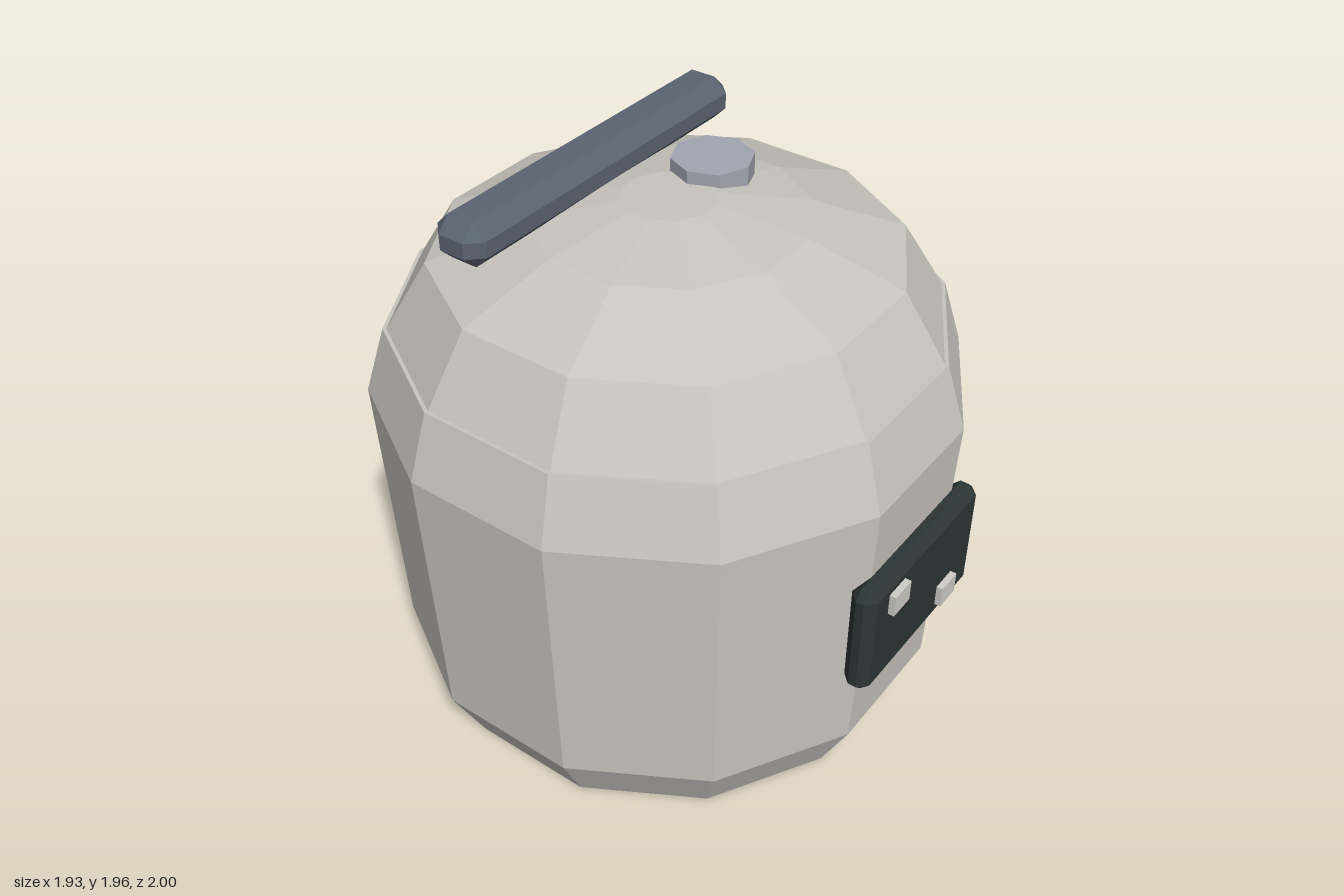
import * as THREE from 'three';
import { ConvexGeometry } from 'three/addons/geometries/ConvexGeometry.js';

const CENTRE_Z = -0.037;

function makeMaterial(name, color) {
  const m = new THREE.MeshStandardMaterial({ color, flatShading: true });
  m.name = name;
  return m;
}

// Twelve-sided solid of revolution with flats facing front and back;
// profile entries are [distance from axis to flat, y]
function facetedLathe(profile) {
  const k = 1 / Math.cos(Math.PI / 12);
  const points = profile.map(([r, y]) => new THREE.Vector2(r * k, y));
  return new THREE.LatheGeometry(points, 12).rotateY(Math.PI / 12).translate(0, 0, CENTRE_Z);
}

// Box with every edge cut at 45 degrees and triangular corners
function chamferedBox(w, h, d, c) {
  const points = [];
  for (const x of [-1, 1]) for (const y of [-1, 1]) for (const z of [-1, 1]) {
    for (let axis = 0; axis < 3; axis++) {
      const inset = [c, c, c];
      inset[axis] = 0;
      points.push(new THREE.Vector3(
        x * (w / 2 - inset[0]), y * (h / 2 - inset[1]), z * (d / 2 - inset[2])));
    }
  }
  return new ConvexGeometry(points);
}

export function createModel() {
  const group = new THREE.Group();
  group.name = 'cooker';

  const shell = makeMaterial('shellGrey', 0xc8c5be);
  const handleMat = makeMaterial('handleSlate', 0x5a6370);
  const panelMat = makeMaterial('panelDark', 0x2c3635);
  const valveMat = makeMaterial('valveGrey', 0xa0a5b0);
  const buttonMat = makeMaterial('buttonLight', 0xcfcdc8);

  function add(name, geometry, material, x = 0, y = 0, z = 0) {
    const mesh = new THREE.Mesh(geometry, material);
    mesh.name = name;
    mesh.position.set(x, y, z);
    group.add(mesh);
  }

  // Pot with a narrow rim around the lid
  add('body', facetedLathe([
    [0, 0], [0.815, 0], [0.925, 0.23], [0.963, 1.23], [0.892, 1.46], [0.86, 1.46],
  ]), shell);

  // Domed lid
  add('lid', facetedLathe([
    [0.88, 1.46], [0.742, 1.69], [0.44, 1.808], [0.15, 1.862], [0, 1.862],
  ]), shell);

  // Carrying bar across the lid
  add('handle', chamferedBox(1.3, 0.15, 0.19, 0.048), handleMat, 0, 1.885, -0.342);

  // Steam valve
  add('steamValve', new THREE.CylinderGeometry(0.137, 0.137, 0.09, 8), valveMat, 0.23, 1.86, CENTRE_Z);

  // Control panel and its two buttons
  add('controlPanel', chamferedBox(0.69, 0.425, 0.092, 0.032), panelMat, 0, 0.767, 0.932);
  const button = new THREE.BoxGeometry(0.095, 0.078, 0.04);
  add('upperButton', button, buttonMat, -0.194, 0.888, 0.98);
  add('lowerButton', button, buttonMat, 0.15, 0.656, 0.98);

  return group;
}
